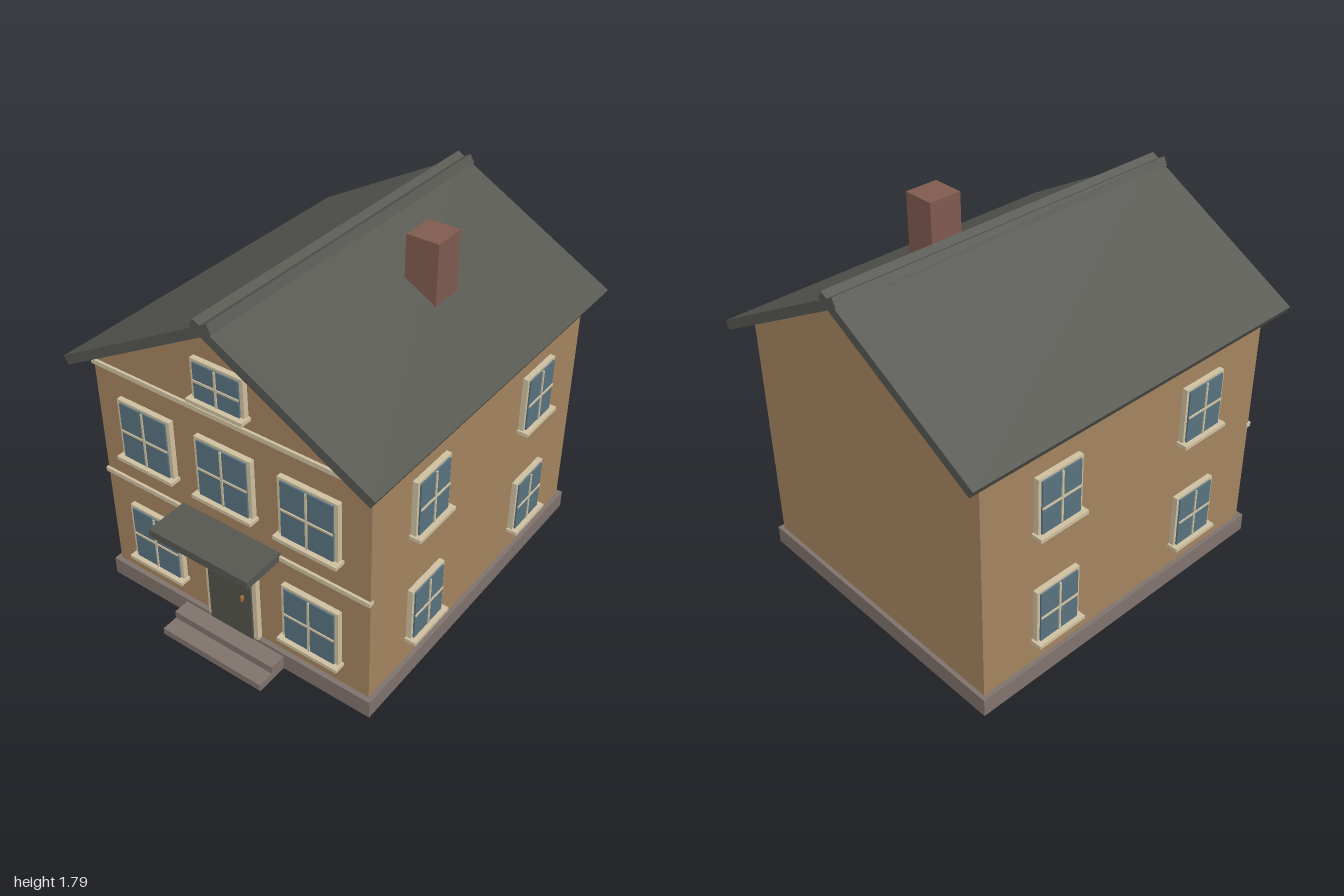
import * as THREE from 'three';

const mat = (name, color) => {
  const m = new THREE.MeshStandardMaterial({ color });
  m.name = name;
  return m;
};

export function createModel() {
  const wall = mat('tan wall', 0xa58461);
  const trim = mat('cream trim', 0xcfc0a0);
  const glass = mat('blue glass', 0x587380);
  const slate = mat('dark slate', 0x565751);
  const doorPaint = mat('dark door paint', 0x53524b);
  const stone = mat('grey stone', 0x80736d);
  const brick = mat('chimney brick', 0x805b4f);
  const brass = mat('copper handle', 0xb0703f);

  const house = new THREE.Group();
  house.name = 'house';

  // Box given by its limits on each axis
  const box = (parent, name, material, x0, x1, y0, y1, z0, z1) => {
    const m = new THREE.Mesh(new THREE.BoxGeometry(x1 - x0, y1 - y0, z1 - z0), material);
    m.position.set((x0 + x1) / 2, (y0 + y1) / 2, (z0 + z1) / 2);
    m.name = name;
    parent.add(m);
    return m;
  };

  // Prism from an outline in x and y, running from z0 to z1
  const prism = (name, material, pts, z0, z1) => {
    const shape = new THREE.Shape(pts.map(([x, y]) => new THREE.Vector2(x, y)));
    const g = new THREE.ExtrudeGeometry(shape, { depth: z1 - z0, bevelEnabled: false });
    g.translate(0, 0, z0);
    const m = new THREE.Mesh(g, material);
    m.name = name;
    house.add(m);
  };

  // Foundation and steps
  box(house, 'foundation', stone, -0.755, 0.755, 0, 0.092, -0.925, 0.805);
  box(house, 'lowerStep', stone, -0.287, 0.287, 0, 0.036, 0.78, 0.97);
  box(house, 'upperStep', stone, -0.287, 0.287, 0.036, 0.076, 0.78, 0.887);

  // Walls with gables
  prism('walls', wall, [[-0.733, 0.09], [0.733, 0.09], [0.733, 1.277], [0, 1.685], [-0.733, 1.277]], -0.905, 0.78);

  // Roof slabs that cross at the ridge
  for (const s of [1, -1]) {
    const pts = [[0.788, 1.246], [0.81, 1.285], [-0.034, 1.755], [-0.056, 1.716]];
    prism('roofSlab', slate, pts.map(([x, y]) => [x * s, y]), -1, 0.875);
  }
  box(house, 'chimney', brick, 0.27, 0.43, 1.4, 1.79, -0.268, -0.1);

  // Trim bands across the front
  for (const y of [0.648, 1.243]) box(house, 'trimBand', trim, -0.738, 0.738, y - 0.011, y + 0.011, 0.765, 0.793);

  // Window facing +z: half width w and glass from y0 to y1
  const addWindow = (x, z, turn, w, y0, y1, edge) => {
    const g = new THREE.Group();
    g.name = 'window';
    const mid = (y0 + y1) / 2;
    box(g, 'frame', trim, -w - edge, w + edge, y0 - 0.005, y1 + 0.012, -0.005, 0.026);
    box(g, 'pane', glass, -w, w, y0, y1, 0.02, 0.034);
    box(g, 'uprightBar', trim, -0.005, 0.005, y0, y1, 0.03, 0.039);
    box(g, 'crossBar', trim, -w, w, mid - 0.005, mid + 0.005, 0.03, 0.039);
    box(g, 'sill', trim, -w - edge - 0.011, w + edge + 0.011, y0 - 0.018, y0, -0.005, 0.057);
    g.position.set(x, 0, z);
    g.rotation.y = turn;
    house.add(g);
  };

  // Front windows
  for (const x of [-0.44, 0, 0.44]) {
    addWindow(x, 0.78, 0, 0.132, 0.813, 1.1, 0.019);
    if (x !== 0) addWindow(x, 0.78, 0, 0.132, 0.22, 0.507, 0.019);
  }
  addWindow(0, 0.78, 0, 0.118, 1.322, 1.493, 0.018);

  // Side windows
  for (const s of [1, -1]) {
    for (const z of [0.38, -0.5]) {
      for (const y of [0.823, 0.228]) addWindow(s * 0.733, z, s * Math.PI / 2, 0.109, y, y + 0.266, 0.015);
    }
  }

  // Front door and canopy
  const door = new THREE.Group();
  door.name = 'frontDoor';
  house.add(door);
  box(door, 'doorFrame', trim, -0.146, 0.146, 0.09, 0.627, 0.77, 0.807);
  box(door, 'doorLeaf', doorPaint, -0.122, 0.122, 0.092, 0.603, 0.79, 0.818);
  box(door, 'doorPane', glass, -0.071, 0.071, 0.42, 0.552, 0.815, 0.823);
  box(door, 'doorHandle', brass, 0.076, 0.085, 0.315, 0.343, 0.815, 0.833);
  box(house, 'canopy', slate, -0.273, 0.273, 0.632, 0.672, 0.77, 1);

  return house;
}
